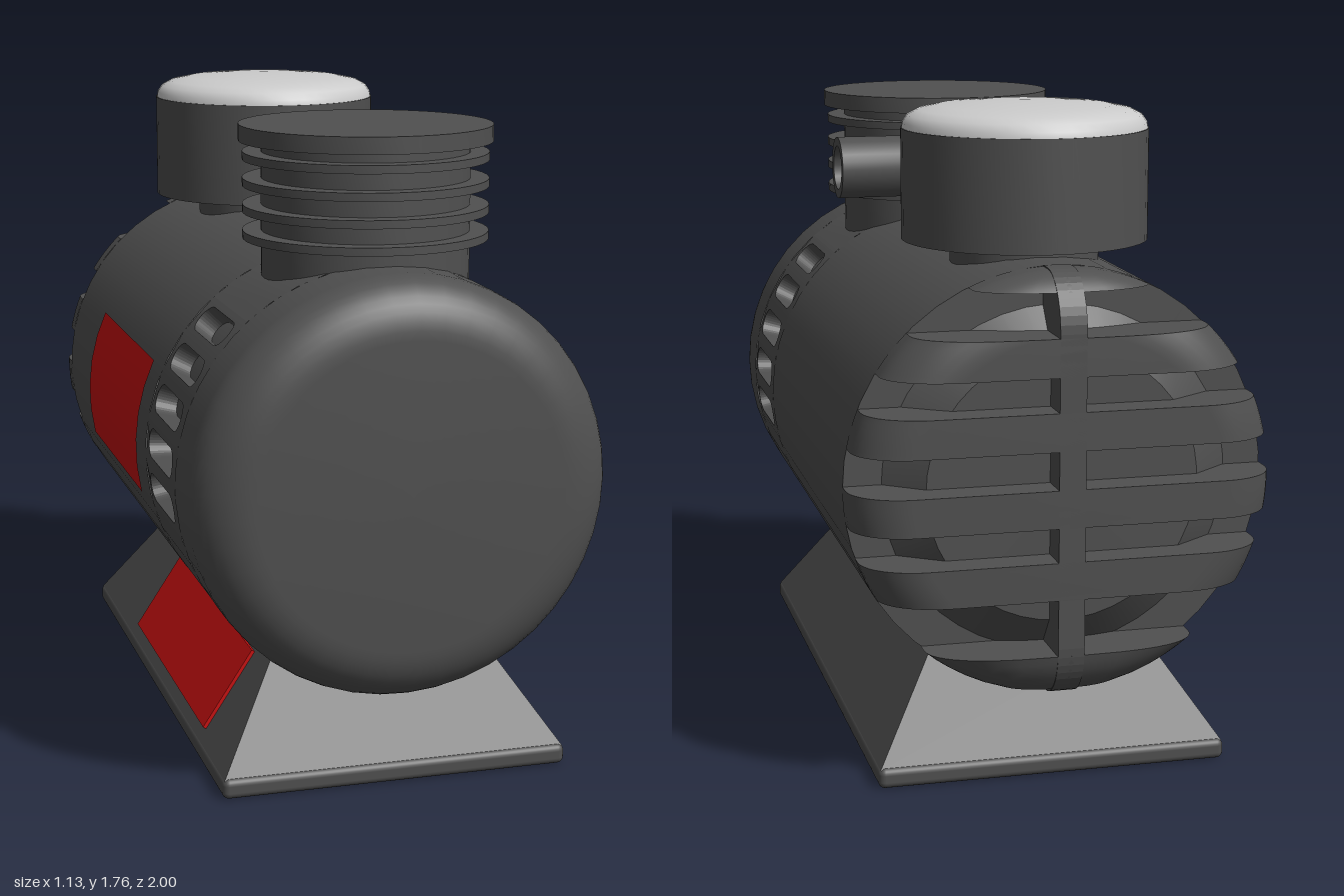
import * as THREE from 'three';
import { toCreasedNormals } from 'three/addons/utils/BufferGeometryUtils.js';
import { RoundedBoxGeometry } from 'three/addons/geometries/RoundedBoxGeometry.js';

const dark = new THREE.MeshStandardMaterial({ color: 0x505050, side: THREE.DoubleSide });
const pale = new THREE.MeshStandardMaterial({ color: 0xcccccc });
const red = new THREE.MeshStandardMaterial({ color: 0xc81010, side: THREE.DoubleSide });

const R = 0.56, AXIS_Y = 0.81, rad = THREE.MathUtils.degToRad;
// rounded end of the drum: distance along the axis and radius for t = 0..90 degrees
const endZ = t => 0.87 + 0.13 * Math.sin(t);
const endR = t => 0.41 + 0.15 * Math.cos(t);
const STEPS = 10;

function add(parent, name, geometry, material = dark, x = 0, y = 0, z = 0) {
  const mesh = new THREE.Mesh(geometry, material);
  mesh.name = name;
  mesh.position.set(x, y, z);
  parent.add(mesh);
  return mesh;
}

// profile of [radius, height] points, edges kept sharp
function lathe(points, segments = 48, start = 0, length = Math.PI * 2) {
  const pts = points.map(p => new THREE.Vector2(p[0], p[1]));
  return toCreasedNormals(new THREE.LatheGeometry(pts, segments, start, length), 0.6);
}

// lathe around the z axis; angles in degrees measured up from +x
function drum(points, from = 0, to = 360) {
  const n = Math.max(4, Math.round((to - from) / 8));
  return lathe(points, n, rad(from + 90), rad(to - from)).rotateX(Math.PI / 2);
}

// curved wall panel with one rounded vent slot, bent around the drum
function ventPanel(angle) {
  const h = 0.56 * rad(6.375), s = new THREE.Shape();
  s.moveTo(-0.73, -h).lineTo(-0.36, -h).lineTo(-0.36, h).lineTo(-0.73, h).closePath();
  const slot = new THREE.Path();
  slot.absarc(-0.44, 0, 0.04, -Math.PI / 2, Math.PI / 2, false);
  slot.absarc(-0.65, 0, 0.04, Math.PI / 2, Math.PI * 1.5, false);
  s.holes.push(slot);
  const g = new THREE.ExtrudeGeometry(s, { depth: 0.06, bevelEnabled: false, curveSegments: 8 });
  const p = g.attributes.position, n = g.attributes.normal;
  for (let i = 0; i < p.count; i++) {
    const a = rad(angle) + p.getY(i) / R, r = R - 0.06 + p.getZ(i);
    const c = Math.cos(a), d = Math.sin(a), ny = n.getY(i), nz = n.getZ(i);
    p.setXYZ(i, r * c, r * d, -p.getX(i));
    n.setXYZ(i, nz * c - ny * d, nz * d + ny * c, -n.getX(i));
  }
  return g;
}

// horizontal slice of the rounded rear end between two heights (relative to the axis)
function rearSlice(y0, y1) {
  const rows = 6, half = STEPS + 2, pos = [], index = [];
  for (let i = 0; i <= rows; i++) {
    const y = y0 + (y1 - y0) * i / rows, a = Math.abs(y);
    const tMax = a > 0.41 ? Math.acos(Math.min(1, (a - 0.41) / 0.15)) : Math.PI / 2;
    const side = [[Math.sqrt(Math.max(0, R * R - y * y)), -0.83]];
    for (let j = 0; j <= STEPS; j++) {
      const t = tMax * j / STEPS, r = endR(t);
      side.push([Math.sqrt(Math.max(0, r * r - y * y)), -endZ(t)]);
    }
    side.forEach(([x, z]) => pos.push(x, y, z));
    side.reverse().forEach(([x, z]) => pos.push(-x, y, z));
  }
  const w = half * 2, quad = (a, b, c, d) => index.push(a, b, c, a, c, d);
  for (let i = 0; i < rows; i++)
    for (let j = 0; j < w - 1; j++)
      quad(i * w + j, i * w + j + 1, (i + 1) * w + j + 1, (i + 1) * w + j);
  const top = rows * w;
  for (let j = 0; j < half - 1; j++) {
    quad(top + j, top + j + 1, top + w - 2 - j, top + w - 1 - j);
    quad(w - 1 - j, w - 2 - j, j + 1, j);
  }
  const g = new THREE.BufferGeometry();
  g.setAttribute('position', new THREE.Float32BufferAttribute(pos, 3));
  g.setIndex(index);
  return toCreasedNormals(g, 0.6);
}

function buildBody() {
  const body = new THREE.Group();
  body.name = 'motorHousing';
  body.position.y = AXIS_Y;

  // main shell and rounded front end
  add(body, 'housingShell', drum([[0.3, -0.83], [R, -0.83], [R, 0.36]]));
  const nose = [[R, 0.73]];
  for (let j = 0; j <= STEPS; j++) {
    const t = Math.PI / 2 * j / STEPS;
    nose.push([endR(t), endZ(t)]);
  }
  add(body, 'housingFront', drum([...nose, [0, 1]]));

  // vented band: plain top and bottom, slotted panels on both sides
  const band = [[R, 0.36], [R, 0.73]], edge = 17.5 + 5 * 6.375;
  const low = 17.5 - 5 * 6.375;
  add(body, 'ventBandTop', drum(band, edge, 180 - edge));
  add(body, 'ventBandBottom', drum(band, 180 - low, 360 + low));
  add(body, 'ventInner', drum([[R - 0.06, 0.36], [R - 0.06, 0.73]]));
  for (let i = -2; i <= 2; i++) {
    const a = 17.5 + i * 12.75;
    add(body, 'leftVent', ventPanel(a));
    add(body, 'rightVent', ventPanel(180 - a));
  }

  // rear grille: recessed core, horizontal ribs and an upright bar
  add(body, 'grilleCore', drum([[0, -0.91], [0.36, -0.91], [0.46, -0.83]]));
  const ribs = [[-0.56, -0.43], [-0.28, -0.18], [-0.09, 0.01], [0.11, 0.21], [0.30, 0.40], [0.51, 0.56]];
  ribs.forEach(([a, b]) => add(body, 'grilleRib', rearSlice(a, b)));
  const bar = new THREE.Shape();
  bar.moveTo(0.83, -R);
  for (let j = 0; j <= STEPS; j++) {
    const t = Math.PI / 2 * j / STEPS;
    bar.lineTo(endZ(t), -endR(t));
  }
  for (let j = STEPS; j >= 0; j--) {
    const t = Math.PI / 2 * j / STEPS;
    bar.lineTo(endZ(t), endR(t));
  }
  bar.lineTo(0.83, R);
  const barGeo = new THREE.ExtrudeGeometry(bar, { depth: 0.07, bevelEnabled: false });
  add(body, 'grilleBar', barGeo.rotateY(Math.PI / 2), dark, -0.035);

  // curved label on the right side
  add(body, 'sideLabel', drum([[0.573, -0.43], [0.573, 0.29]], 155, 193), red);
  return body;
}

function buildFoot() {
  const foot = new THREE.Group();
  foot.name = 'foot';
  add(foot, 'basePlate', new RoundedBoxGeometry(0.95, 0.055, 1.74, 3, 0.018), dark, 0, 0.0275, 0.02);
  const g = new THREE.BoxGeometry(0.94, 0.27, 1.72), p = g.attributes.position;
  for (let i = 0; i < p.count; i++)
    if (p.getY(i) > 0) p.setXYZ(i, p.getX(i) * 0.62, p.getY(i), p.getZ(i) * 0.785);
  g.computeVertexNormals();
  add(foot, 'pedestal', g, dark, 0, 0.185, 0.02);
  const label = add(foot, 'footLabel', new THREE.BoxGeometry(0.012, 0.25, 0.9), red, -0.384, 0.187, 0.13);
  label.rotation.z = -Math.atan2(0.179, 0.27);
  return foot;
}

function buildFilter() {
  const filter = new THREE.Group();
  filter.name = 'finnedCylinder';
  filter.position.set(0.02, 0, 0.5);
  // core, four fins and a top flange in one profile
  const profile = [[0.28, 1.2]];
  for (let i = 0; i < 4; i++) {
    const y = 1.405 + i * 0.07;
    profile.push([0.28, y], [0.33, y], [0.33, y + 0.022], [0.28, y + 0.022]);
  }
  profile.push([0.28, 1.665], [0.34, 1.665], [0.34, 1.71], [0, 1.71]);
  add(filter, 'coolingFins', lathe(profile));
  return filter;
}

function buildCap() {
  const cap = new THREE.Group();
  cap.name = 'roundCanister';
  cap.position.z = -0.505;
  add(cap, 'canisterNeck', new THREE.CylinderGeometry(0.2, 0.2, 0.2, 32), dark, 0, 1.31);
  add(cap, 'canister', lathe([[0, 1.395], [0.33, 1.395], [0.33, 1.69], [0, 1.69]]));
  add(cap, 'canisterLid', lathe([[0.328, 1.685], [0.325, 1.705], [0.312, 1.724], [0.285, 1.738],
    [0.23, 1.749], [0.12, 1.758], [0, 1.762]]), pale);
  return cap;
}

function buildPipe() {
  const pipe = new THREE.Group();
  pipe.name = 'connectingPipe';
  pipe.position.y = 1.525;
  const along = (name, r0, r1, z0, z1, sides = 24) => {
    const g = new THREE.CylinderGeometry(r1, r0, z1 - z0, sides).rotateX(Math.PI / 2);
    add(pipe, name, sides === 6 ? toCreasedNormals(g, 0.5) : g, dark, 0.005, 0, (z0 + z1) / 2);
  };
  along('pipeCollar', 0.088, 0.088, -0.2, -0.14);
  along('pipeNut', 0.088, 0.088, -0.14, -0.035, 6);
  along('pipeNeck', 0.042, 0.065, -0.04, 0.03);
  along('pipeBody', 0.066, 0.066, 0.03, 0.25);
  // hollow outlet pointing left
  const outlet = lathe([[0, 0.04], [0.07, 0.04], [0.088, 0.07], [0.088, 0.4], [0.062, 0.4], [0.062, 0.15], [0, 0.15]], 24);
  add(pipe, 'outlet', outlet.rotateZ(-Math.PI / 2), dark, 0, 0, 0.083);
  add(pipe, 'elbow', new THREE.SphereGeometry(0.075, 24, 16), dark, 0.005, 0, 0.083);
  return pipe;
}

export function createModel() {
  const model = new THREE.Group();
  model.name = 'airCompressor';
  model.add(buildBody(), buildFoot(), buildFilter(), buildCap(), buildPipe());
  return model;
}
